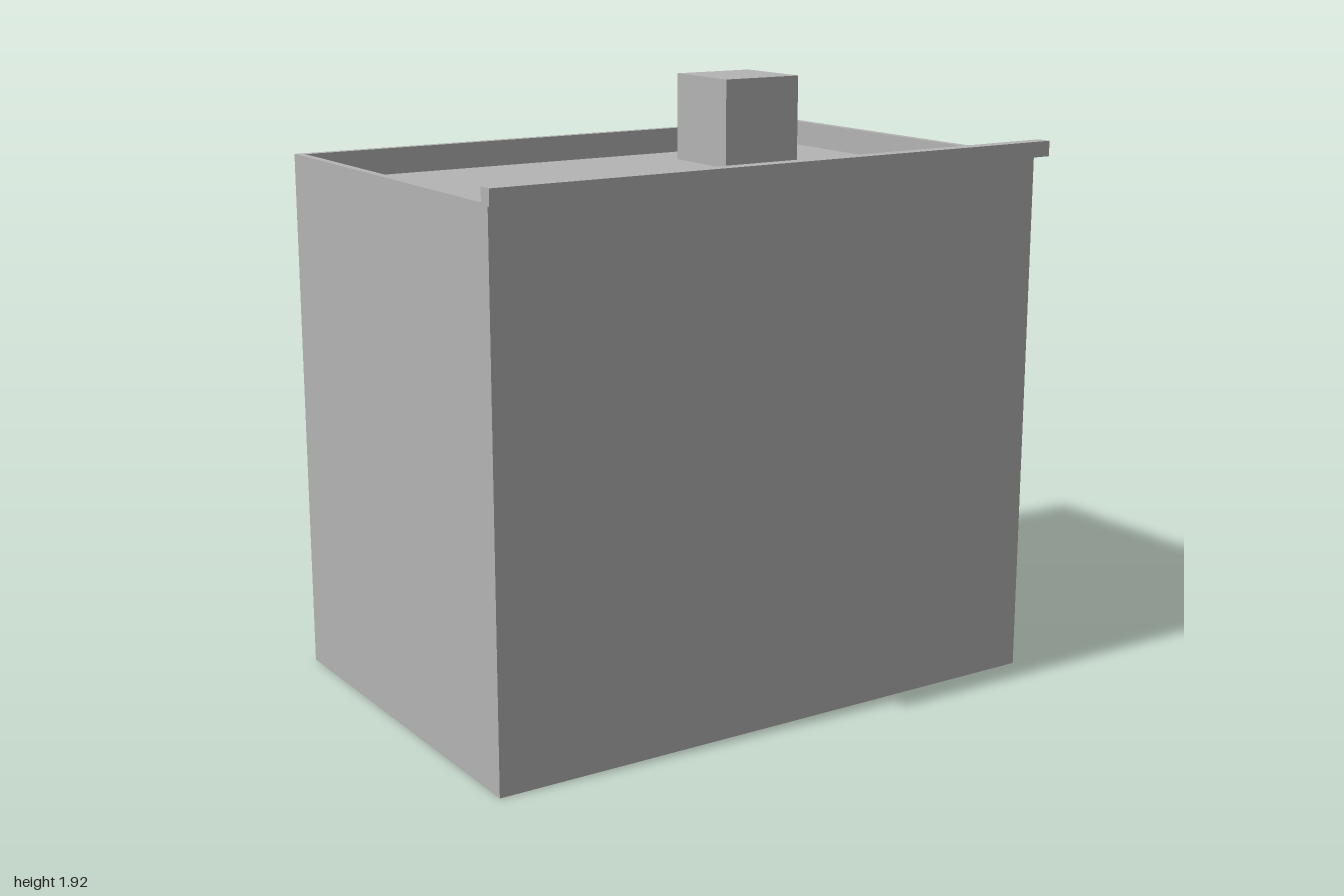
import * as THREE from 'three';

export function createModel() {
  const group = new THREE.Group();
  const grey = new THREE.MeshStandardMaterial({ color: 0xb4b4b4 });
  grey.name = 'plain grey';

  // Adds a box given its lower and upper corners
  function addBox(name, [x0, y0, z0], [x1, y1, z1]) {
    const mesh = new THREE.Mesh(new THREE.BoxGeometry(x1 - x0, y1 - y0, z1 - z0), grey);
    mesh.position.set((x0 + x1) / 2, (y0 + y1) / 2, (z0 + z1) / 2);
    mesh.name = name;
    group.add(mesh);
  }

  // Traces a rectangle, used for the outline and the hole of the parapet
  function rectangle(path, x, back, front) {
    path.moveTo(-x, -front);
    path.lineTo(x, -front);
    path.lineTo(x, -back);
    path.lineTo(-x, -back);
    path.closePath();
    return path;
  }

  const roofY = 1.63, wallTop = 1.715;
  const halfWidth = 0.98, back = -0.677, front = 0.63, rim = 0.027;

  // Main block, its top face is the sunken flat roof
  addBox('building', [-halfWidth, 0, back], [halfWidth, roofY, front]);

  // Parapet ring around the roof
  const ring = rectangle(new THREE.Shape(), halfWidth, back, front);
  ring.holes.push(rectangle(new THREE.Path(), halfWidth - rim, back + rim, front - rim));
  const parapetGeometry = new THREE.ExtrudeGeometry(ring, { depth: wallTop - roofY, bevelEnabled: false });
  parapetGeometry.rotateX(-Math.PI / 2);
  const parapet = new THREE.Mesh(parapetGeometry, grey);
  parapet.position.y = roofY;
  parapet.name = 'parapet';
  group.add(parapet);

  // Cornice bar along the top of the front
  addBox('cornice', [-1, wallTop, front], [1, 1.764, 0.677]);

  // Chimney block standing on the roof
  addBox('chimney', [0.345, roofY, -0.468], [0.64, 1.925, -0.173]);

  return group;
}
